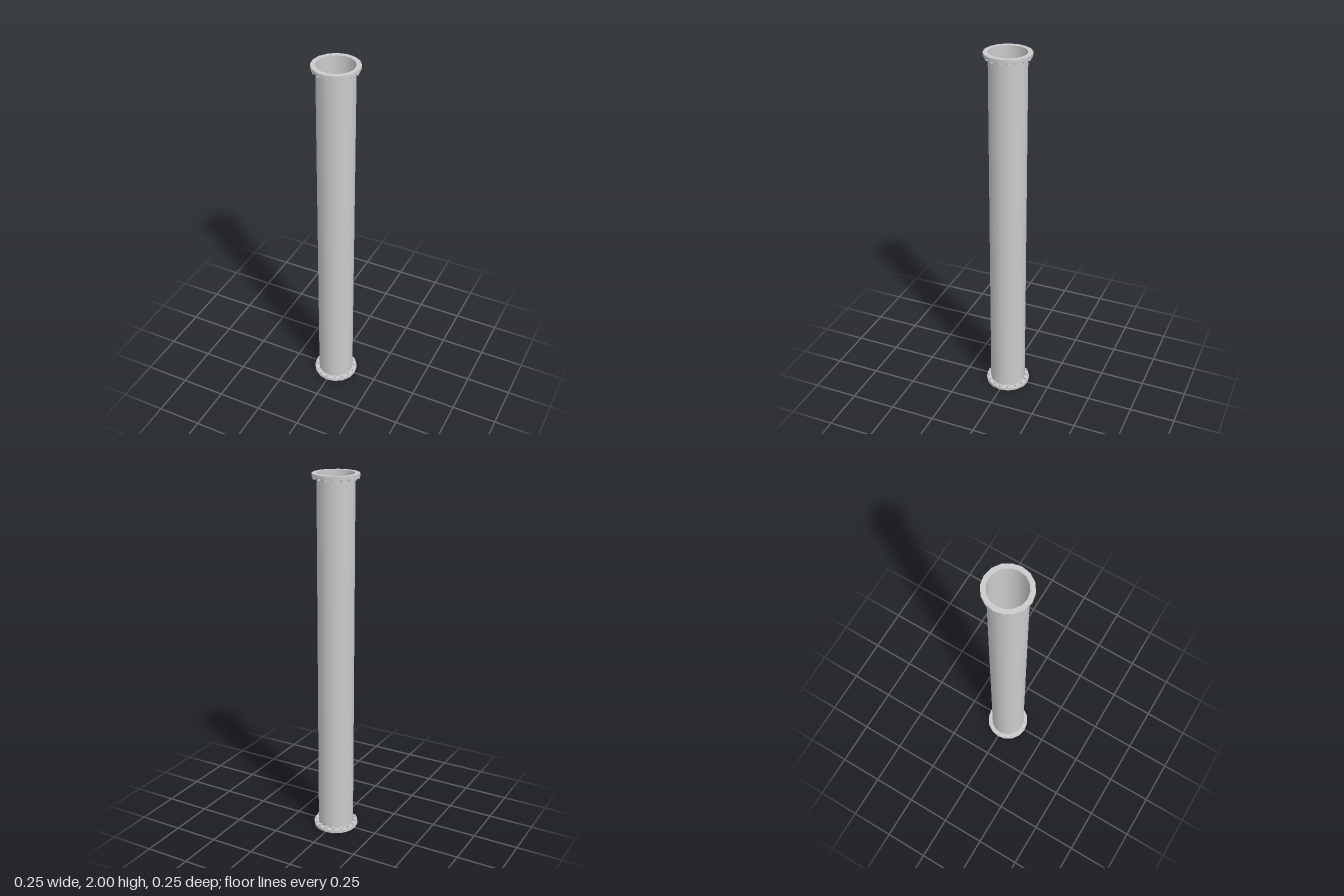
import * as THREE from 'three';
import { toCreasedNormals } from 'three/addons/utils/BufferGeometryUtils.js';

const SIDES = 16, HEIGHT = 2;
const PIPE_R = 0.099, FLANGE_R = 0.124, FLANGE_H = 0.017;
const BOLT_R = 0.0085, BOLT_H = 0.012, BOLT_COUNT = 16;

export function createModel() {
  const group = new THREE.Group();
  const grey = new THREE.MeshStandardMaterial({ color: 0xcccccc });
  const thin = new THREE.MeshStandardMaterial({ color: 0xcccccc, side: THREE.DoubleSide });

  // Thin open pipe wall
  const pipe = new THREE.Mesh(
    new THREE.CylinderGeometry(PIPE_R, PIPE_R, HEIGHT, SIDES, 1, true), thin);
  pipe.name = 'pipe';
  pipe.position.y = HEIGHT / 2;
  group.add(pipe);

  // Flange ring: underside, rim and top face; the pipe wall closes its bore
  const profile = [[PIPE_R, 0], [FLANGE_R, 0], [FLANGE_R, FLANGE_H], [PIPE_R, FLANGE_H]]
    .map(([x, y]) => new THREE.Vector2(x, y));
  const flangeGeo = toCreasedNormals(new THREE.LatheGeometry(profile, SIDES), 0.6);
  const boltGeo = toCreasedNormals(new THREE.CylinderGeometry(BOLT_R, BOLT_R, BOLT_H, 6), 0.6);

  // A flange with a circle of hexagonal bolts on its inward side
  function flangeEnd(name) {
    const end = new THREE.Group();
    end.name = name;
    const ring = new THREE.Mesh(flangeGeo, grey);
    ring.name = 'flangeRing';
    end.add(ring);
    const circle = (PIPE_R + FLANGE_R) / 2;
    for (let i = 0; i < BOLT_COUNT; i++) {
      const a = (i / BOLT_COUNT) * Math.PI * 2;
      const bolt = new THREE.Mesh(boltGeo, grey);
      bolt.name = 'bolt';
      bolt.position.set(Math.sin(a) * circle, FLANGE_H + BOLT_H / 2, Math.cos(a) * circle);
      bolt.rotation.y = a;
      end.add(bolt);
    }
    return end;
  }

  const bottom = flangeEnd('bottomFlange');
  const top = flangeEnd('topFlange');
  top.rotation.x = Math.PI;
  top.position.y = HEIGHT;
  group.add(bottom, top);
  return group;
}
